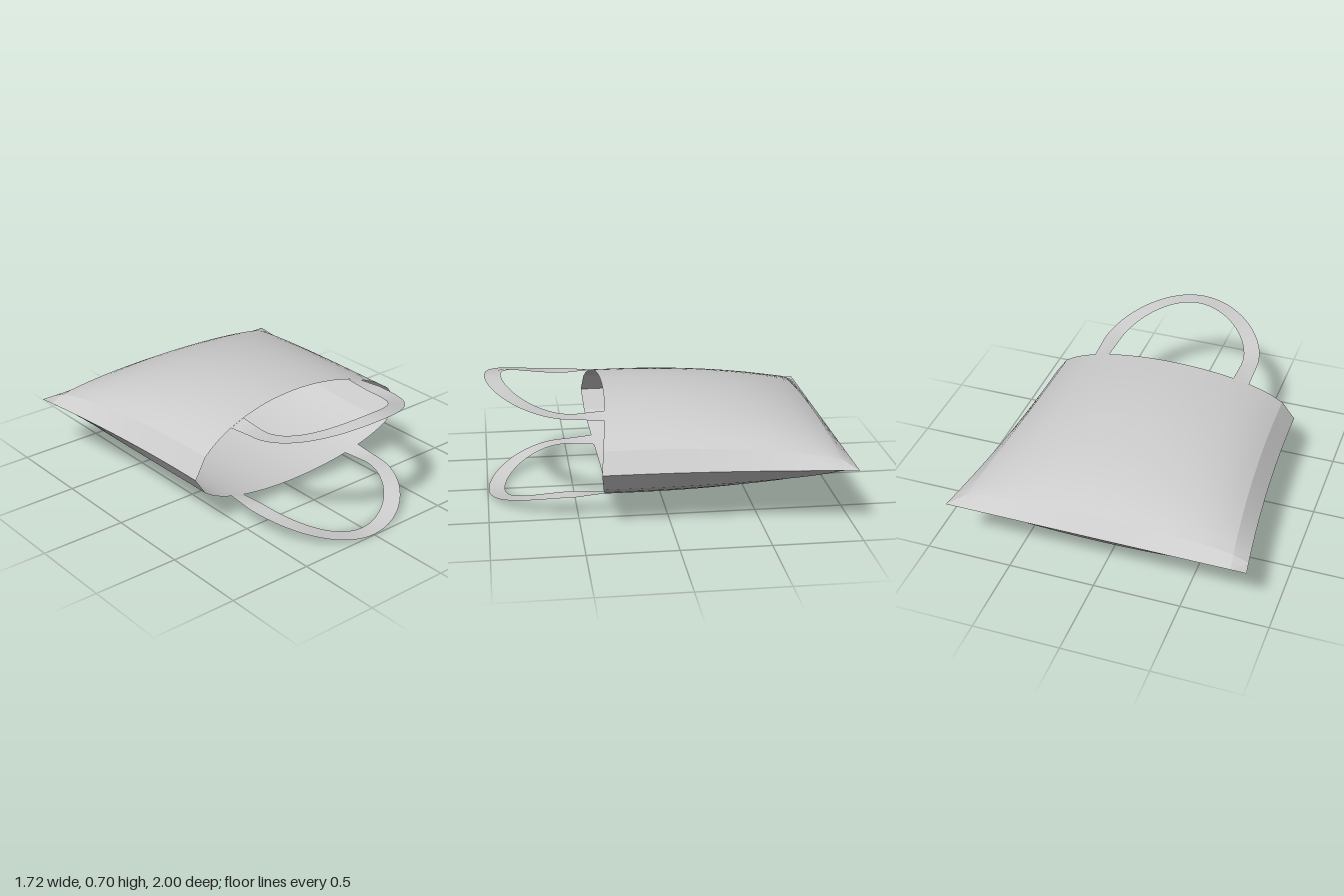
import * as THREE from 'three';
import { toCreasedNormals } from 'three/addons/utils/BufferGeometryUtils.js';

const MID = 0.35; // height of the side seams
const BULGE = 0.287;

// half width of the bag, flaring towards the closed bottom edge
const halfWidth = (z) => 0.762 + 0.098 * ((0.39 - z) / 1.39) ** 2;
// rounded falloff, 1 in the middle and 0 at the seam
const puff = (t) => Math.max(0, 1 - t * t) ** 0.57;
const mouthZ = (x) => 0.322 + 0.066 * (x / 0.762) ** 2;
// height of the panel above the seam
const panelHeight = (x, z) =>
  BULGE * puff(x / halfWidth(z)) * puff(Math.max(0, (0.2 - z) / 1.2));

// sheet over a grid of (u, v) cells, shaped by point(u, v)
function sheet(us, vs, point) {
  const geo = new THREE.PlaneGeometry(1, 1, us.length - 1, vs.length - 1);
  const pos = geo.attributes.position;
  vs.forEach((v, j) => us.forEach((u, i) => pos.setXYZ(j * us.length + i, ...point(u, v))));
  geo.computeVertexNormals();
  return geo;
}

const spread = (a, b, n) => Array.from({ length: n + 1 }, (_, i) => a + ((b - a) * i) / n);

// one bulging panel with a wide facet along each seam
function panelGeometry() {
  const us = [-1, ...spread(-0.9, 0.9, 24), 1];
  const vs = [0, ...spread(0.058, 1, 22)];
  const geo = sheet(us, vs, (u, v) => {
    const x = u * halfWidth(-1 + 1.39 * v);
    const z = -1 + v * (mouthZ(x) + 1);
    // pin the edge columns and bottom row exactly to the seam
    const y = Math.abs(u) === 1 || v === 0 ? 0 : panelHeight(x, z);
    return [x, y, z];
  });
  return toCreasedNormals(geo, 0.25);
}

// flat strap loop: two straight legs joined by a half circle that lifts away from the bag
function handleGeometry() {
  const CZ = 0.51, IN = 0.39, OUT = 0.485, BASE = 0.229, LIFT = 0.121;
  const path = [
    ...spread(0, 0.8, 4).map((t) => ({ leg: t, a: 0, side: -1 })),
    ...spread(0, Math.PI, 36).map((a) => ({ leg: 1, a, side: 0 })),
    ...spread(0.8, 0, 4).map((t) => ({ leg: t, a: Math.PI, side: 1 })),
  ];
  return sheet([OUT, IN], path, (r, { leg, a, side }) => {
    if (side) {
      const z0 = mouthZ(r);
      const z = THREE.MathUtils.lerp(z0, CZ, leg);
      const y = THREE.MathUtils.lerp(panelHeight(r, z0), BASE, leg);
      return [side * r, y, z];
    }
    const rise = THREE.MathUtils.smoothstep(Math.min(a, Math.PI - a), 0, Math.PI / 2);
    return [-r * Math.cos(a), BASE + LIFT * rise, CZ + r * Math.sin(a)];
  });
}

export function createModel() {
  const bag = new THREE.Group();
  bag.name = 'toteBag';
  const fabric = new THREE.MeshStandardMaterial({ color: 0xcccccc });
  fabric.name = 'greyFabric';
  fabric.side = THREE.DoubleSide;

  const panel = panelGeometry();
  const handle = handleGeometry();

  // the two sides are the same, turned half round about the seam plane
  [['upper', 0], ['lower', Math.PI]].forEach(([name, turn]) => {
    const side = new THREE.Group();
    side.name = name + 'Side';
    const body = new THREE.Mesh(panel, fabric);
    body.name = name + 'Panel';
    const strap = new THREE.Mesh(handle, fabric);
    strap.name = name + 'Handle';
    side.add(body, strap);
    side.position.y = MID;
    side.rotation.z = turn;
    bag.add(side);
  });
  return bag;
}
